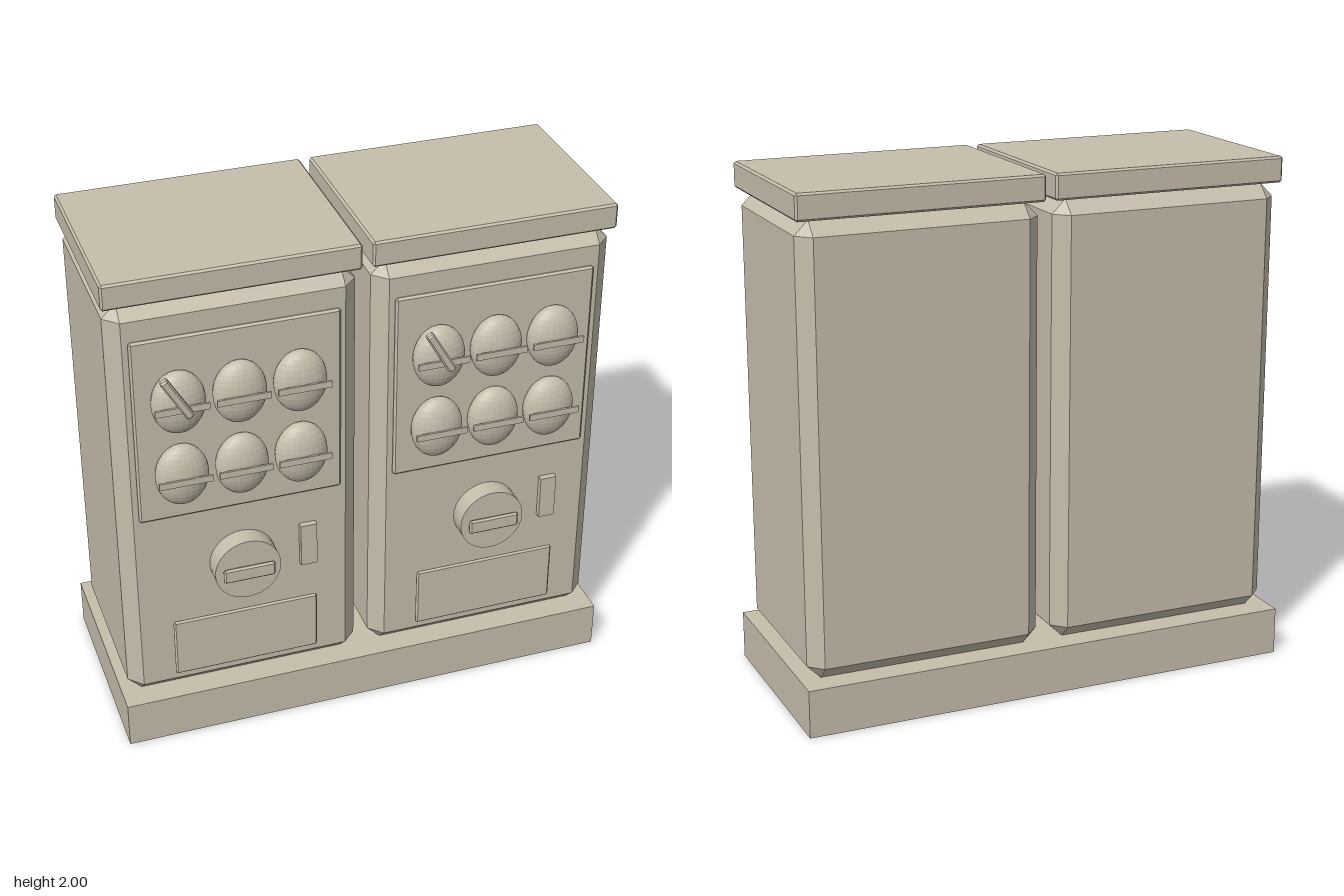
import * as THREE from 'three';
import { ConvexGeometry } from 'three/addons/geometries/ConvexGeometry.js';

const stone = new THREE.MeshStandardMaterial({ color: 0xc6beac });
stone.name = 'warm grey beige';

// Box with every edge and corner cut by a flat chamfer c
function chamferBox(w, h, d, c) {
  const points = [];
  for (const x of [-1, 1]) for (const y of [-1, 1]) for (const z of [-1, 1]) {
    for (const [a, b, e] of [[0, c, c], [c, 0, c], [c, c, 0]]) {
      points.push(new THREE.Vector3(x * (w / 2 - a), y * (h / 2 - b), z * (d / 2 - e)));
    }
  }
  return new ConvexGeometry(points);
}

function add(parent, name, geometry, x, y, z) {
  const mesh = new THREE.Mesh(geometry, stone);
  mesh.name = name;
  mesh.position.set(x, y, z);
  parent.add(mesh);
  return mesh;
}

// Faceted flattened capsule shared by all display positions
function capsuleGeometry() {
  const g = new THREE.SphereGeometry(1, 24, 16).scale(0.1, 0.126, 0.058).toNonIndexed();
  g.computeVertexNormals();
  return g;
}

function createCabinet(name) {
  const cabinet = new THREE.Group();
  cabinet.name = name;

  // Shell and lid
  add(cabinet, 'body', chamferBox(0.922, 1.71, 0.725, 0.053), 0, 1.04, -0.0375);
  add(cabinet, 'lid', chamferBox(0.942, 0.1, 0.735, 0.008), 0, 1.95, -0.0375);

  // Display window with two rows of three capsules
  add(cabinet, 'displayPanel', chamferBox(0.774, 0.76, 0.02, 0.008), 0, 1.384, 0.331);
  const capsule = capsuleGeometry();
  const band = new THREE.BoxGeometry(0.2, 0.026, 0.008);
  for (const y of [1.512, 1.205]) {
    for (const x of [-0.225, 0, 0.225]) {
      add(cabinet, 'capsule', capsule, x, y, 0.36);
      add(cabinet, 'capsuleBand', band, x, y, 0.419);
    }
  }
  const glint = add(cabinet, 'windowGlint', chamferBox(0.032, 0.188, 0.03, 0.006), -0.247, 1.572, 0.434);
  glint.rotation.z = Math.PI / 6;

  // Turning knob and its grip
  const knob = new THREE.CylinderGeometry(0.128, 0.128, 0.078, 32).rotateX(Math.PI / 2);
  add(cabinet, 'knob', knob, 0, 0.75, 0.363);
  add(cabinet, 'knobGrip', chamferBox(0.2, 0.06, 0.018, 0.007), 0, 0.75, 0.42);

  // Coin plate and delivery flap
  add(cabinet, 'coinPlate', new THREE.BoxGeometry(0.064, 0.18, 0.028), 0.256, 0.767, 0.335);
  add(cabinet, 'deliveryFlap', chamferBox(0.57, 0.25, 0.016, 0.007), 0, 0.405, 0.348);
  return cabinet;
}

export function createModel() {
  const model = new THREE.Group();
  model.name = 'twinCapsuleMachines';
  add(model, 'plinth', new THREE.BoxGeometry(1.958, 0.186, 0.825), 0, 0.093, -0.0375);
  for (const side of [-1, 1]) {
    const cabinet = createCabinet(side < 0 ? 'rightCabinet' : 'leftCabinet');
    cabinet.position.x = side * 0.49;
    model.add(cabinet);
  }
  return model;
}
